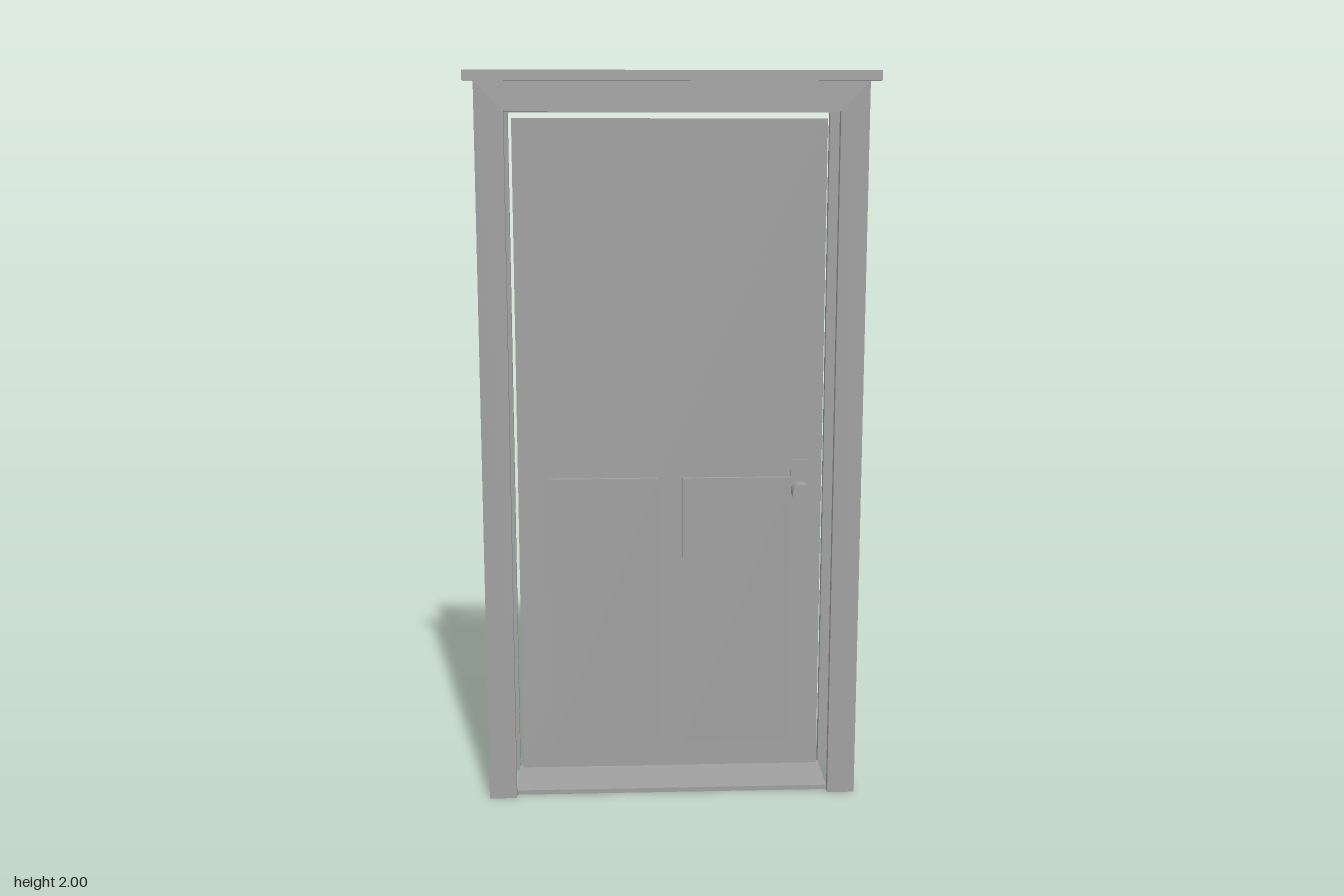
import * as THREE from 'three';

export function createModel() {
  const door = new THREE.Group();
  door.name = 'door';
  const paint = new THREE.MeshStandardMaterial({ name: 'plain grey', color: 0xa0a0a0 });

  function add(name, geometry) {
    const mesh = new THREE.Mesh(geometry, paint);
    mesh.name = name;
    door.add(mesh);
    return mesh;
  }

  // Box given by its min and max corners
  function box(name, [x0, y0, z0], [x1, y1, z1]) {
    const mesh = add(name, new THREE.BoxGeometry(x1 - x0, y1 - y0, z1 - z0));
    mesh.position.set((x0 + x1) / 2, (y0 + y1) / 2, (z0 + z1) / 2);
  }

  // Casing: two posts and a header in one piece, open at the bottom
  function casing(name, top, z) {
    const out = 0.516, inner = 0.44, head = 1.896;
    const shape = new THREE.Shape([
      [-out, 0], [-inner, 0], [-inner, head], [inner, head],
      [inner, 0], [out, 0], [out, top], [-out, top],
    ].map(([x, y]) => new THREE.Vector2(x, y)));
    const geometry = new THREE.ExtrudeGeometry(shape, { depth: 0.022, bevelEnabled: false });
    add(name, geometry).position.z = z;
  }

  casing('frontCasing', 1.974, 0.088);
  casing('backCasing', 1.972, -0.11);
  box('headerCap', [-0.543, 1.974, 0.088], [0.543, 2, 0.132]);
  box('threshold', [-0.44, 0, -0.09], [0.44, 0.013, 0.088]);

  // Door leaf
  const mid = -0.0605, half = 0.0185;
  box('doorLeaf', [-0.428, 0.027, mid - half], [0.428, 1.88, mid + half]);

  // Raised panels pass through the leaf and stand proud on both faces
  for (const side of [-1, 1]) {
    const x = side * 0.188;
    box(side < 0 ? 'rightPanel' : 'leftPanel',
      [x - 0.153, 0.1, mid - 0.0295], [x + 0.153, 0.888, mid + 0.0295]);
  }

  // Lock plate and round knob on each face
  const knobX = 0.367, knobY = 0.849, plate = 0.004, reach = 0.0715;
  for (const side of [-1, 1]) {
    const face = side < 0 ? 'back' : 'front';
    const a = mid + side * half, b = a + side * plate;
    box(face + 'LockPlate',
      [knobX - 0.026, 0.76, Math.min(a, b)], [knobX + 0.026, 0.938, Math.max(a, b)]);
    const length = reach - half;
    const knob = add(face + 'Knob', new THREE.CylinderGeometry(0.026, 0.026, length, 32));
    knob.rotation.x = Math.PI / 2;
    knob.position.set(knobX, knobY, mid + side * (half + length / 2));
  }

  return door;
}
